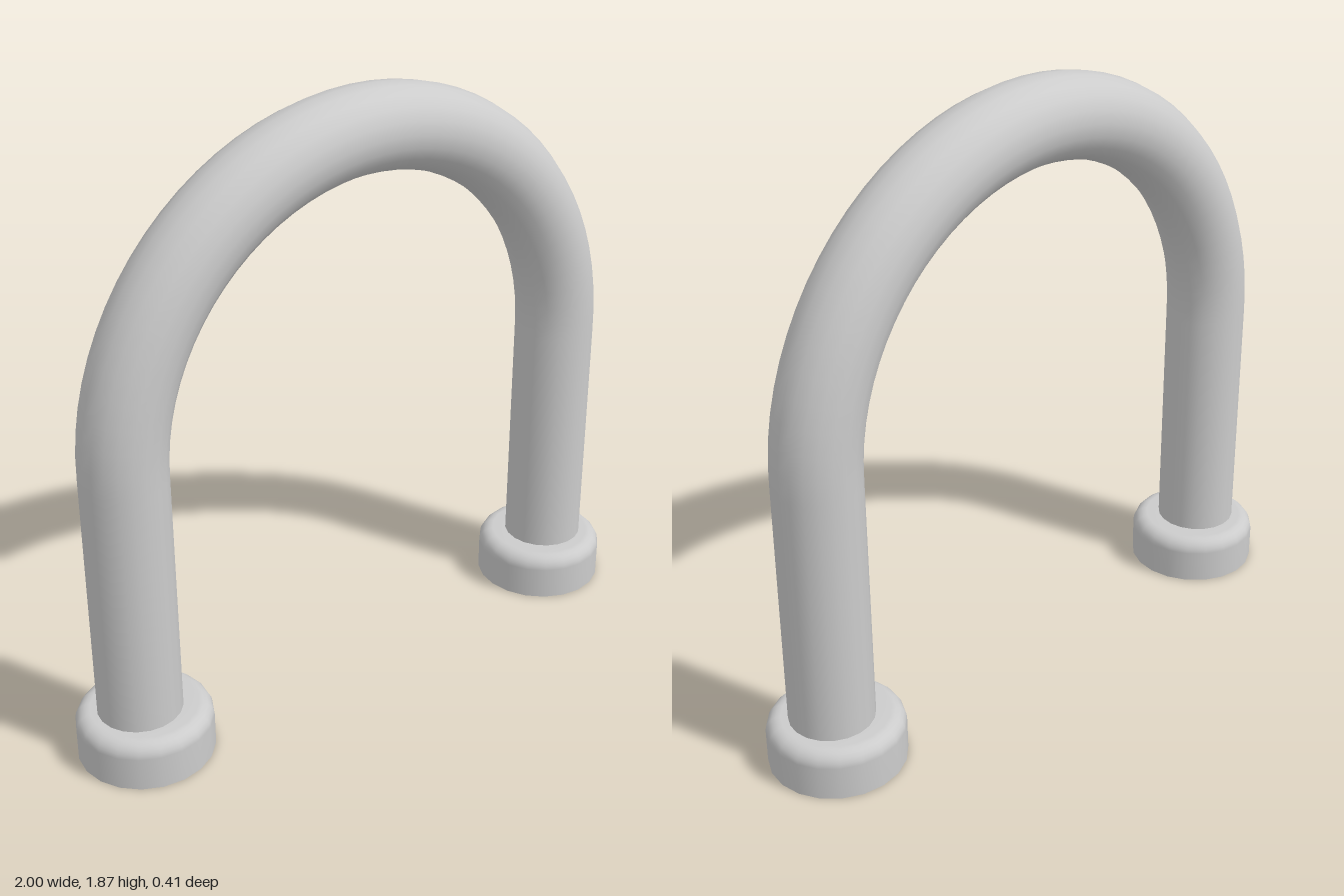
import * as THREE from 'three';

const LEG_X = 0.809, BEND_Y = 0.934, TUBE_R = 0.127, START_Y = 0.14;

// Centreline: straight leg, half circle, straight leg
class ArchCurve extends THREE.Curve {
  getPoint(t, target = new THREE.Vector3()) {
    const leg = BEND_Y - START_Y, arc = Math.PI * LEG_X;
    const s = t * (2 * leg + arc);
    if (s < leg) return target.set(-LEG_X, START_Y + s, 0);
    if (s > leg + arc) return target.set(LEG_X, BEND_Y - (s - leg - arc), 0);
    const a = Math.PI - (s - leg) / LEG_X;
    return target.set(LEG_X * Math.cos(a), BEND_Y + LEG_X * Math.sin(a), 0);
  }
}

export function createModel() {
  const group = new THREE.Group();
  const material = new THREE.MeshStandardMaterial({ color: 0xcccccc, side: THREE.DoubleSide });
  const add = (name, geometry, x = 0, y = 0) => {
    const mesh = new THREE.Mesh(geometry, material);
    mesh.name = name;
    mesh.position.set(x, y, 0);
    group.add(mesh);
    return mesh;
  };

  // Bent pipe
  add('archTube', new THREE.TubeGeometry(new ArchCurve(), 64, TUBE_R, 20, false));

  // Collar shell, open underneath, with a rounded shoulder
  const R = 0.205, H = 0.15, F = 0.045;
  const profile = [new THREE.Vector2(R, 0)];
  for (let i = 0; i <= 5; i++) {
    const a = (i / 5) * Math.PI / 2;
    profile.push(new THREE.Vector2(R - F + F * Math.cos(a), H - F + F * Math.sin(a)));
  }
  profile.push(new THREE.Vector2(0.108, H));

  for (const [side, s] of [['left', 1], ['right', -1]]) {
    add(side + 'Collar', new THREE.LatheGeometry(profile, 20), s * 0.795);
    // Closed end of the pipe inside the collar
    add(side + 'TubeEnd', new THREE.CircleGeometry(TUBE_R, 20).rotateX(Math.PI / 2), s * LEG_X, START_Y);
  }
  return group;
}
